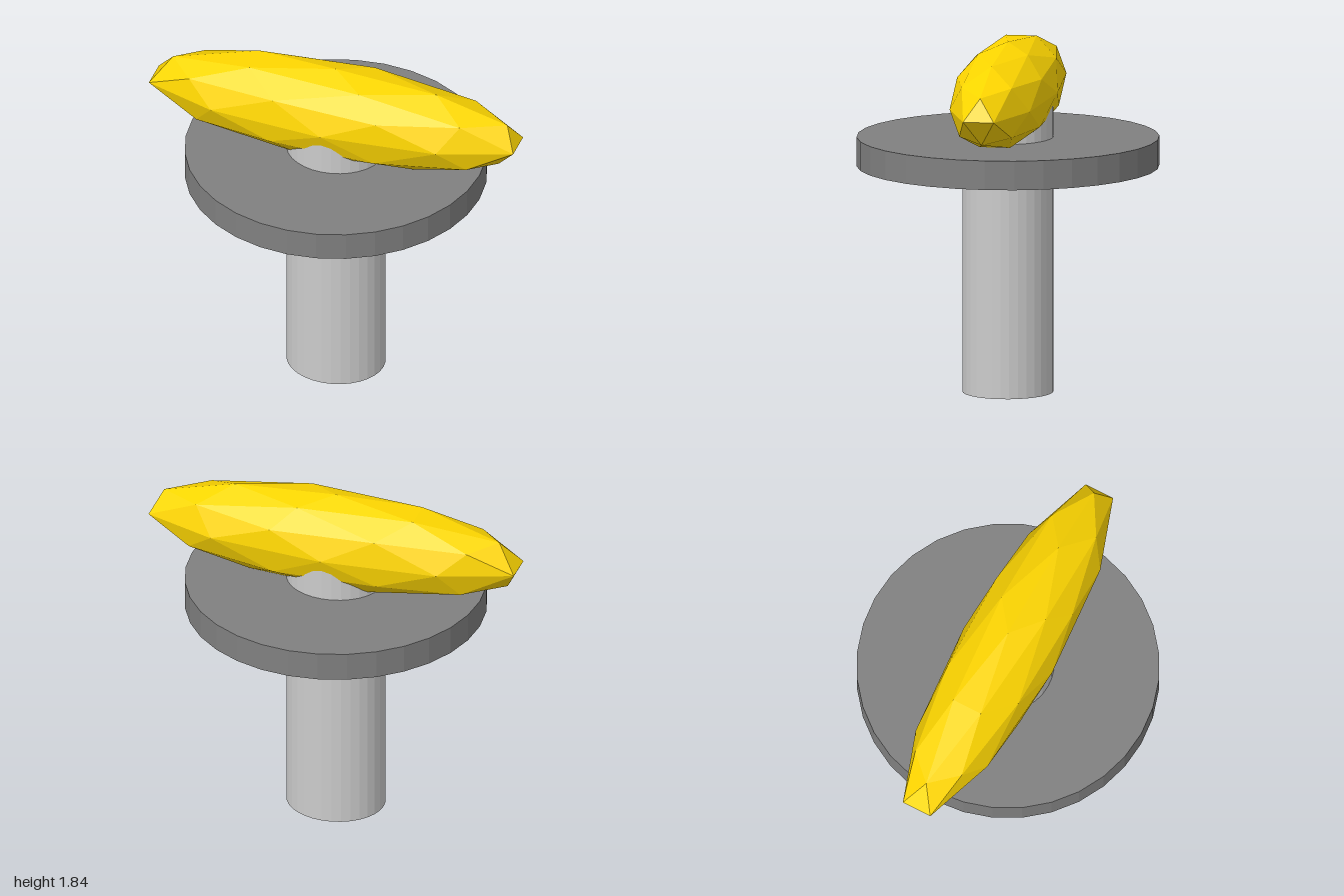
import * as THREE from 'three';

function part(name, geometry, color, y) {
  const material = new THREE.MeshStandardMaterial({ color, flatShading: true });
  const mesh = new THREE.Mesh(geometry, material);
  mesh.name = name;
  mesh.position.y = y;
  return mesh;
}

// Upright 32-sided drum between two heights, with its own x and z radius
function drum(name, rx, rz, bottom, top, color) {
  const geometry = new THREE.CylinderGeometry(1, 1, top - bottom, 32).scale(rx, 1, rz);
  return part(name, geometry, color, (bottom + top) / 2);
}

export function createModel() {
  const model = new THREE.Group();
  model.name = 'model';

  // Slightly oval post, ending inside the gold body
  model.add(drum('post', 0.261, 0.237, 0, 1.58, 0xcccccc));

  // Round plate under the gold body
  model.add(drum('plate', 0.788, 0.788, 1.19, 1.343, 0x808080));

  // Faceted gold body: a once-divided icosahedron stood on a corner, then stretched along x
  const goldenRatio = (1 + Math.sqrt(5)) / 2;
  const body = new THREE.IcosahedronGeometry(1, 1)
    .rotateZ(-Math.atan(1 / goldenRatio))
    .scale(1.0515, 0.261, 0.261);
  model.add(part('facetedBody', body, 0xffd700, 1.58));

  return model;
}
